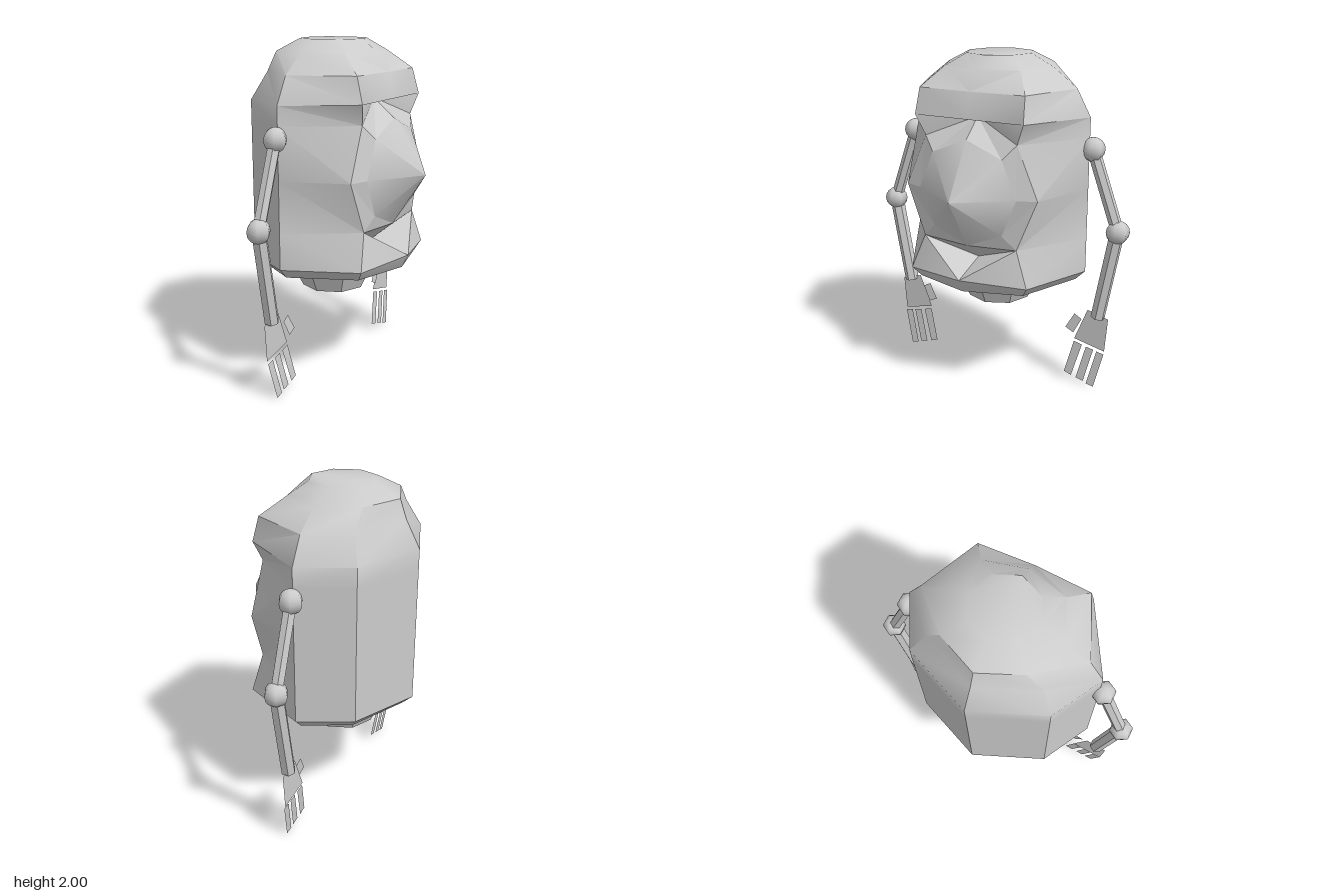
import * as THREE from 'three';
import { toCreasedNormals } from 'three/addons/utils/BufferGeometryUtils.js';

const CX = -0.075; // centre line of the body and arms
const EYE_Y = 1.25;

// Skin a stack of closed 8-point loops, with mirrored diagonals and optional end caps
function loft(loops, caps) {
  const n = 8, pos = loops.flat(2), idx = [];
  for (let i = 0; i < loops.length - 1; i++) {
    for (let j = 0; j < n; j++) {
      const a = i * n + j, b = i * n + (j + 1) % n, c = a + n, d = b + n;
      if (j < 4) idx.push(a, d, b, a, c, d);
      else idx.push(a, c, b, b, c, d);
    }
  }
  if (caps) {
    const t = (loops.length - 1) * n;
    for (let j = 1; j < n - 1; j++) idx.push(0, j, j + 1, t, t + j + 1, t + j);
  }
  const g = new THREE.BufferGeometry();
  g.setAttribute('position', new THREE.Float32BufferAttribute(pos, 3));
  g.setIndex(idx);
  return g;
}

// One body loop: front [x,y], front corner [x,z,y], side z, back corner [x,z], back x
function bodyLoop(y, f, fc, side, bc, back) {
  const fy = fc[2] ?? y;
  return [
    [f[0], f[1] ?? y, 0], [fc[0], fy, fc[1]], [CX, y, side], [bc[0], y, bc[1]],
    [back, y, 0], [bc[0], y, -bc[1]], [CX, y, -side], [fc[0], fy, -fc[1]],
  ];
}

export function createModel() {
  const root = new THREE.Group();
  const mat = new THREE.MeshStandardMaterial({ color: 0xcccccc });
  const flat = new THREE.MeshStandardMaterial({ color: 0xcccccc, flatShading: true });
  const thin = new THREE.MeshStandardMaterial({ color: 0xcccccc, side: THREE.DoubleSide });
  const add = (parent, geo, m, name) => {
    const mesh = new THREE.Mesh(geo, m);
    mesh.name = name;
    parent.add(mesh);
    return mesh;
  };

  // Body with a lower lip, recessed eye socket, brow and rounded crown
  const wall = [0.57, [-0.37, 0.41], -0.54];
  const loops = [
    bodyLoop(0.68, [0.40], [0.30, 0.34], 0.51, [-0.33, 0.36], -0.475),
    bodyLoop(0.74, [0.44, 0.76], [0.34, 0.38], ...wall),
    bodyLoop(0.95, [0.20, 0.83], [0.31, 0.30], ...wall),
    bodyLoop(1.25, [0.20], [0.295, 0.42], ...wall),
    bodyLoop(1.55, [0.20, 1.67], [0.29, 0.29], ...wall),
    bodyLoop(1.665, [0.32, 1.67], [0.32, 0.34, 1.67], ...wall),
    bodyLoop(1.82, [0.295], [0.28, 0.33], 0.485, [-0.31, 0.33], -0.455),
    bodyLoop(1.93, [0.21], [0.15, 0.24], 0.34, [-0.31, 0.24], -0.415),
    bodyLoop(2.0, [0.13], [0.07, 0.14], 0.2, [-0.215, 0.14], -0.27),
  ];
  add(root, toCreasedNormals(loft(loops, true), 0.62), mat, 'body');

  // Bevelled frame around the eye: deep at top and bottom, proud at the sides
  const outer = [[0.2, 1.67, 0], [0.29, 1.55, -0.29], [0.295, 1.25, -0.42], [0.31, 0.95, -0.3],
    [0.2, 0.83, 0], [0.31, 0.95, 0.3], [0.295, 1.25, 0.42], [0.29, 1.55, 0.29]];
  const inner = outer.map((_, i) => {
    const a = i * Math.PI / 4;
    return [0.335, EYE_Y + 0.31 * Math.cos(a), -0.31 * Math.sin(a)];
  });
  add(root, loft([outer, inner], false), flat, 'eyeFrame').geometry.computeVertexNormals();

  // Pointed eye lens
  const eye = add(root, new THREE.ConeGeometry(0.31, 0.205, 8, 1), mat, 'eyeLens');
  eye.rotation.z = -Math.PI / 2;
  eye.position.set(0.4375, EYE_Y, 0);

  // Tapered base
  const base = add(root, new THREE.CylinderGeometry(0.285, 0.195, 0.19, 8), flat, 'base');
  base.position.set(CX, 0.595, 0);

  // Thin hand plates as [z, y] corners
  const plates = {
    palm: [[0.726, 0.456], [0.594, 0.493], [0.514, 0.286], [0.71, 0.24]],
    thumb: [[0.562, 0.43], [0.514, 0.456], [0.461, 0.36], [0.514, 0.334]],
    outerFinger: [[0.71, 0.223], [0.663, 0.233], [0.61, 0.01], [0.657, 0]],
    middleFinger: [[0.642, 0.239], [0.594, 0.249], [0.541, 0.034], [0.589, 0.021]],
    innerFinger: [[0.567, 0.255], [0.514, 0.27], [0.461, 0.058], [0.509, 0.042]],
  };

  for (const s of [1, -1]) {
    const arm = new THREE.Group();
    arm.name = s > 0 ? 'leftArm' : 'rightArm';
    root.add(arm);

    const joint = (y, z, name) =>
      add(arm, new THREE.SphereGeometry(0.07, 6, 8), mat, name).position.set(CX, y, s * z);
    joint(1.485, 0.592, 'shoulderJoint');
    joint(1.015, 0.76, 'elbowJoint');

    // Six-sided arm segment between two [y, z] points
    const limb = (p, q, r, name) => {
      const a = new THREE.Vector3(CX, p[0], s * p[1]);
      const b = new THREE.Vector3(CX, q[0], s * q[1]);
      const dir = b.clone().sub(a);
      const geo = new THREE.CylinderGeometry(r, r, dir.length(), 6).rotateY(Math.PI / 6);
      const mesh = add(arm, geo, flat, name);
      mesh.position.copy(a).add(b).multiplyScalar(0.5);
      mesh.quaternion.setFromUnitVectors(new THREE.Vector3(0, 1, 0), dir.normalize());
    };
    limb([1.485, 0.592], [1.015, 0.76], 0.037, 'upperArm');
    limb([0.96, 0.748], [0.46, 0.66], 0.043, 'forearm');

    // The hand plates lean slightly forward towards the fingertips
    for (const [name, c] of Object.entries(plates)) {
      const lean = (y) => name === 'palm' ? -0.078
        : name === 'thumb' ? -0.068 + (0.456 - y) * 0.09 : -0.075 + (0.27 - y) * 0.09;
      const geo = new THREE.BufferGeometry();
      const pts = c.flatMap(([z, y]) => [lean(y), y, s * z]);
      geo.setAttribute('position', new THREE.Float32BufferAttribute(pts, 3));
      geo.setIndex([0, 1, 2, 0, 2, 3]);
      geo.computeVertexNormals();
      add(arm, geo, thin, name);
    }
  }
  return root;
}
